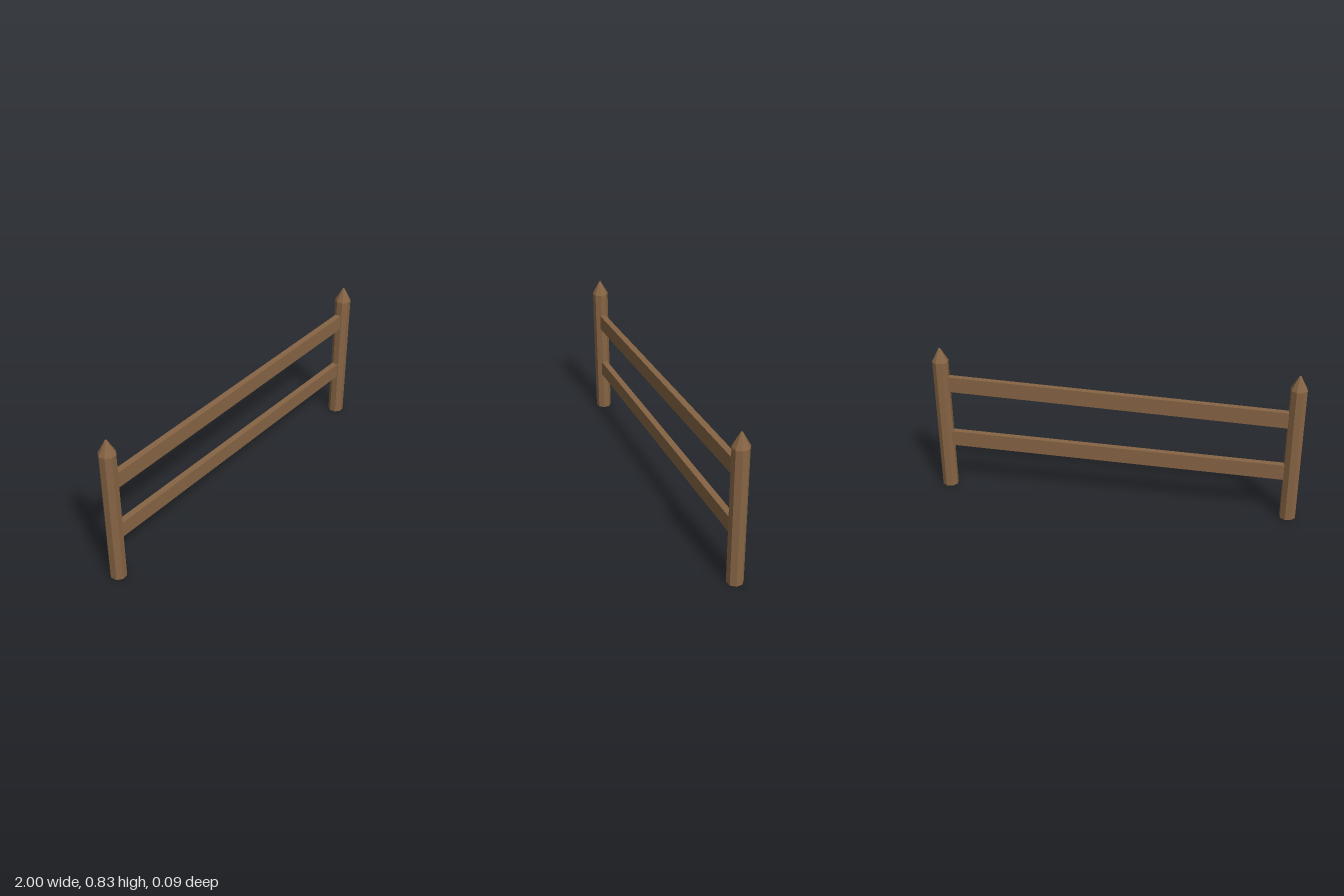
import * as THREE from 'three';

export function createModel() {
  const group = new THREE.Group();
  group.name = 'fence';
  const wood = new THREE.MeshStandardMaterial({ color: 0x866444, flatShading: true });
  wood.name = 'brown wood';

  const SIDES = 8;
  const TURN = -THREE.MathUtils.degToRad(14.5);
  const add = (parent, name, geometry, x, y, z = 0) => {
    const mesh = new THREE.Mesh(geometry, wood);
    mesh.name = name;
    mesh.position.set(x, y, z);
    parent.add(mesh);
    return mesh;
  };

  // Octagonal posts with pointed, slightly overhanging caps
  const shaftHeight = 0.758, capHeight = 0.075;
  for (const side of [1, -1]) {
    const post = new THREE.Group();
    post.name = side > 0 ? 'leftPost' : 'rightPost';
    post.position.x = side * 0.955;
    add(post, 'shaft', new THREE.CylinderGeometry(0.044, 0.044, shaftHeight, SIDES, 1, false, TURN), 0, shaftHeight / 2);
    add(post, 'pointedCap', new THREE.CylinderGeometry(0.005, 0.0457, capHeight, SIDES, 1, false, TURN), 0, shaftHeight + capHeight / 2);
    group.add(post);
  }

  // Slightly tilted rails, with ends buried in the posts
  const rails = [
    ['upperRail', 0.606, 0.087, 0.0242],
    ['lowerRail', 0.288, 0.086, 0.0129],
  ];
  for (const [name, y, height, slope] of rails) {
    const rail = add(group, name, new THREE.BoxGeometry(1.86, height, 0.034), 0, y);
    rail.rotation.z = Math.atan(slope);
  }
  return group;
}
